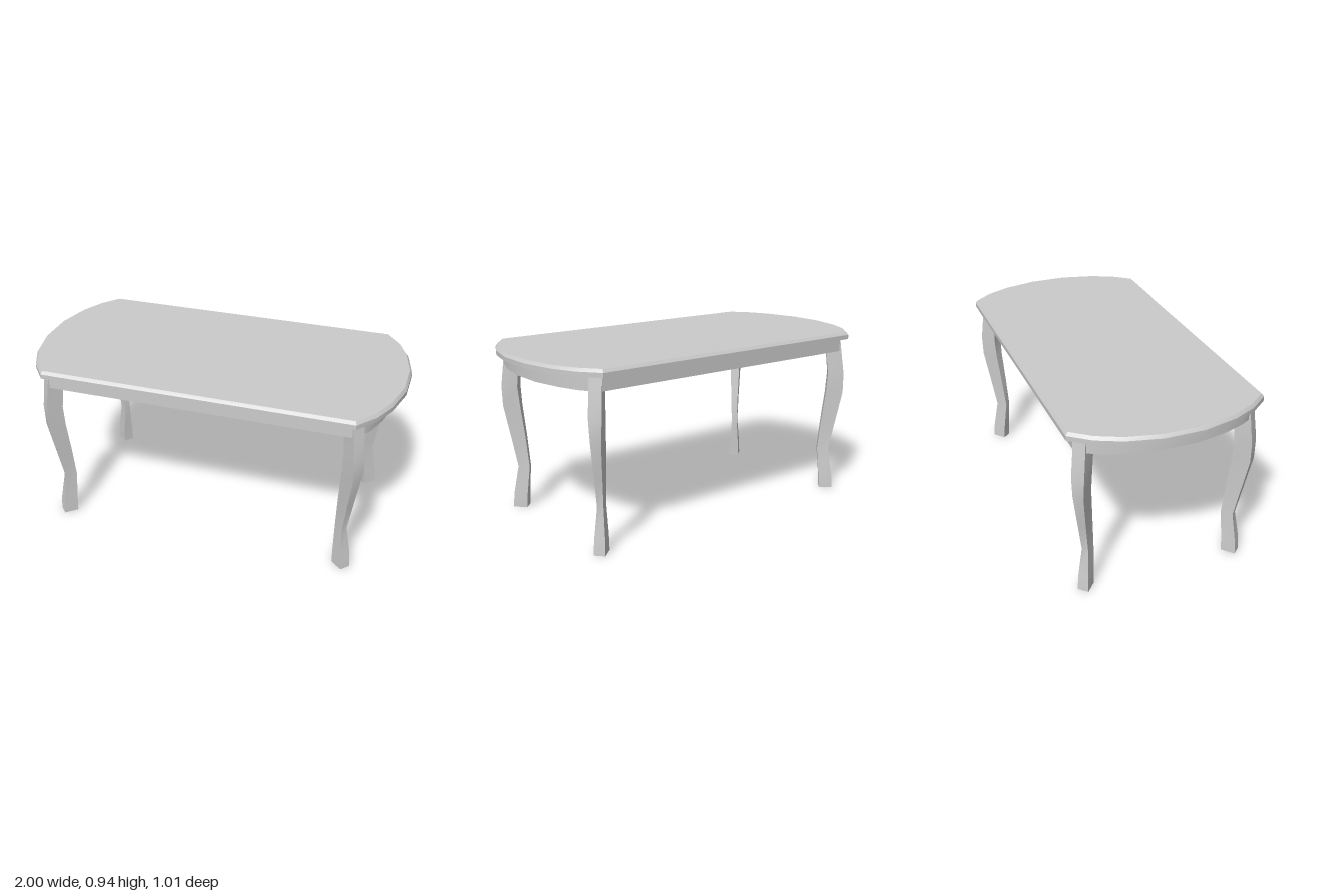
import * as THREE from 'three';
import { toCreasedNormals } from 'three/addons/utils/BufferGeometryUtils.js';

const material = new THREE.MeshStandardMaterial({ color: 0xcccccc });

// Skin a stack of rings (each a loop of [x, y, z], counterclockwise from above).
// With wrap, the last ring joins the first; otherwise both ends are capped.
function loft(name, rings, wrap = false) {
  const n = rings[0].length;
  const pos = [];
  const tri = (a, b, c) => pos.push(...a, ...b, ...c);
  const bands = wrap ? rings.length : rings.length - 1;
  for (let r = 0; r < bands; r++) {
    const a = rings[r], b = rings[(r + 1) % rings.length];
    for (let i = 0; i < n; i++) {
      const j = (i + 1) % n;
      tri(a[i], a[j], b[j]);
      tri(a[i], b[j], b[i]);
    }
  }
  if (!wrap) {
    const lo = rings[0], hi = rings[rings.length - 1];
    for (let i = 1; i < n - 1; i++) {
      tri(hi[0], hi[i], hi[i + 1]);
      tri(lo[0], lo[i + 1], lo[i]);
    }
  }
  const geometry = new THREE.BufferGeometry();
  geometry.setAttribute('position', new THREE.Float32BufferAttribute(pos, 3));
  const mesh = new THREE.Mesh(toCreasedNormals(geometry, 0.5), material);
  mesh.name = name;
  return mesh;
}

// Mirror a quarter outline of [x, z] points into a full loop
function fullOutline(quarter) {
  const right = [...quarter, ...quarter.map(([x, z]) => [x, -z]).reverse()];
  return [...right, ...right.map(([x, z]) => [-x, -z])];
}

// Move every side of a loop inwards by d
function inset(loop, d) {
  const n = loop.length;
  const normal = (p, q) => {
    const dx = q[0] - p[0], dz = q[1] - p[1], l = Math.hypot(dx, dz);
    return [dz / l, -dx / l];
  };
  return loop.map((p, i) => {
    const a = normal(loop[(i + n - 1) % n], p);
    const b = normal(p, loop[(i + 1) % n]);
    const k = d / (1 + a[0] * b[0] + a[1] * b[1]);
    return [p[0] + k * (a[0] + b[0]), p[1] + k * (a[1] + b[1])];
  });
}

const atHeight = (loop, y) => loop.map(([x, z]) => [x, y, z]);

// Leg sections: y, front corner x z, outer corner x z, inner corner x, back corner z
const legSections = [
  [0, 0.8, 0.455, 0.84, 0.413, 0.742, 0.362],
  [0.08, 0.796, 0.45, 0.834, 0.411, 0.741, 0.36],
  [0.235, 0.785, 0.425, 0.806, 0.4, 0.74, 0.355],
  [0.4, 0.804, 0.451, 0.831, 0.419, 0.746, 0.364],
  [0.58, 0.825, 0.48, 0.86, 0.439, 0.756, 0.375],
  [0.69, 0.821, 0.484, 0.865, 0.436, 0.759, 0.374],
  [0.82, 0.808, 0.471, 0.853, 0.425, 0.75, 0.363],
  [0.895, 0.8, 0.465, 0.846, 0.419, 0.745, 0.357],
];

function makeLeg(name, sx, sz) {
  const rings = legSections.map(([y, ax, az, bx, bz, dx, cz]) => {
    const ring = [[ax, az], [bx, bz], [bx + dx - ax, cz], [dx, az + cz - bz]]
      .map(([x, z]) => [x * sx, y, z * sz]);
    return sx * sz < 0 ? ring.reverse() : ring;
  });
  return loft(name, rings);
}

export function createModel() {
  const table = new THREE.Group();
  table.name = 'table';

  // Top with straight long sides, bowed ends and a bevelled upper edge
  const edge = fullOutline([[0.82, 0.505], [0.9, 0.405], [0.958, 0.28], [1, 0.1]]);
  table.add(loft('tabletop', [
    atHeight(edge, 0.895),
    atHeight(edge, 0.919),
    atHeight(inset(edge, 0.012), 0.935),
  ]));

  // Hollow apron following the top
  const outer = fullOutline([[0.8, 0.463], [0.844, 0.418], [0.873, 0.37], [0.912, 0.26], [0.945, 0.1]]);
  const inner = inset(outer, 0.025);
  table.add(loft('apron', [
    atHeight(outer, 0.822),
    atHeight(outer, 0.895),
    atHeight(inner, 0.895),
    atHeight(inner, 0.822),
  ], true));

  // Four curved legs set diagonally at the corners
  for (const [sx, side] of [[1, 'Left'], [-1, 'Right']]) {
    for (const [sz, end] of [[1, 'front'], [-1, 'back']]) {
      table.add(makeLeg(`${end}${side}Leg`, sx, sz));
    }
  }
  return table;
}
